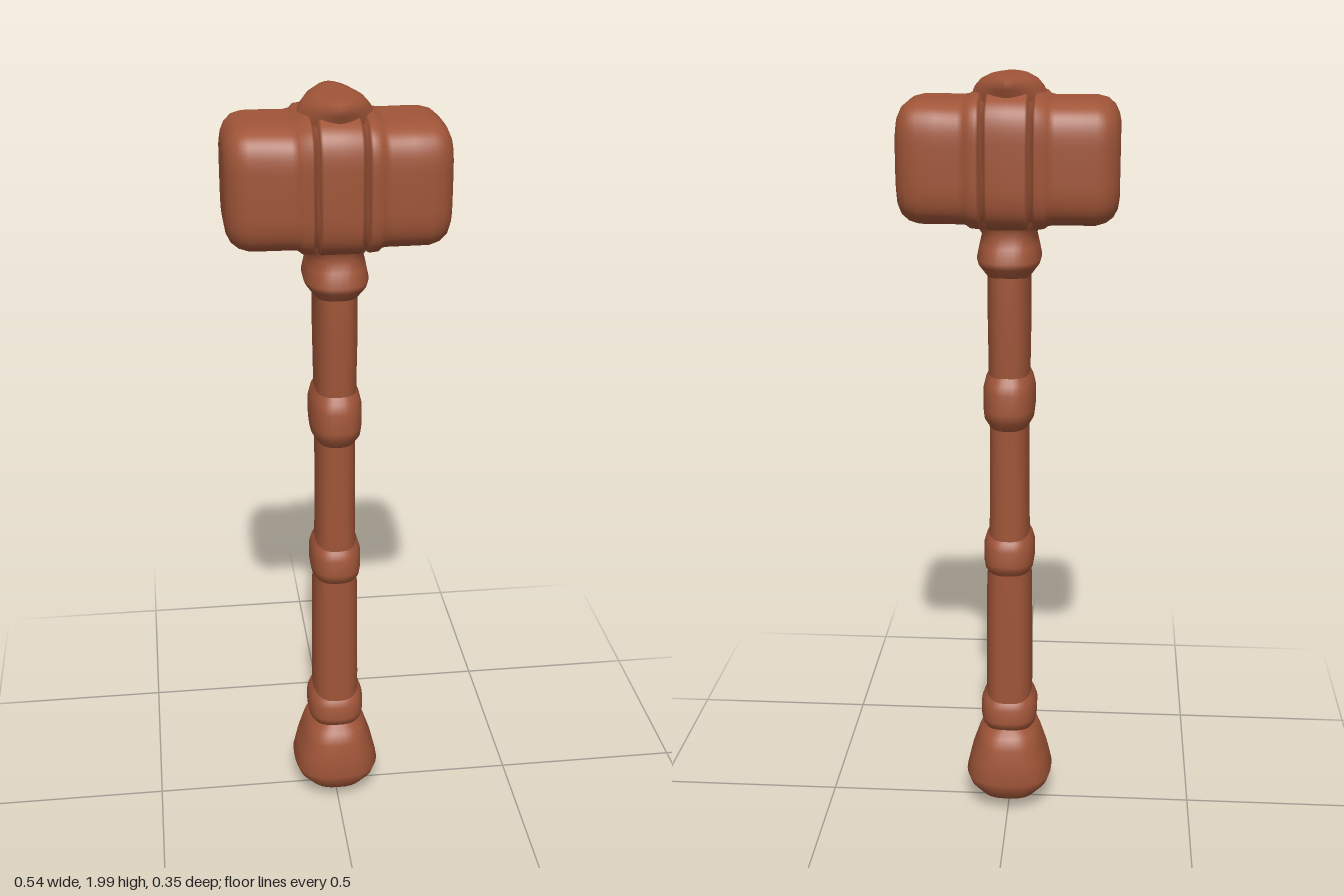
import * as THREE from 'three';

const clay = new THREE.MeshStandardMaterial({ color: 0xa05538 });
clay.name = 'terracotta';

// Superellipse coordinate: exponent 2 is an ellipse, higher is boxier
const power = (v, n) => Math.sign(v) * Math.abs(v) ** (2 / n);

// Closed smooth skin through rings; place(s, c, d) maps each ring point to space
function loft(name, sections, n, place, sides = 40) {
  const points = [], index = [];
  sections.forEach((s, i) => {
    for (let j = 0; j < sides; j++) {
      const a = (j / sides) * Math.PI * 2;
      points.push(...place(s, power(Math.cos(a), n), power(Math.sin(a), n)));
      if (i === sections.length - 1) continue;
      const k = (j + 1) % sides, p = i * sides, q = p + sides;
      index.push(p + j, q + j, p + k, p + k, q + j, q + k);
    }
  });
  const geometry = new THREE.BufferGeometry();
  geometry.setAttribute('position', new THREE.Float32BufferAttribute(points, 3));
  geometry.setIndex(index);
  geometry.computeVertexNormals();
  const mesh = new THREE.Mesh(geometry, clay);
  mesh.name = name;
  return mesh;
}

// Sections [y, half width, half depth] stacked upwards
const upright = ([y, w, d], c, s) => [c * w, y, s * d];
// Sections [x, bottom, top, half depth] running left along the head
const sideways = ([x, lo, hi, d], c, s) => [x, (lo + hi) / 2 + s * (hi - lo) / 2, c * d];

// A raised grip ring with sloping shoulders
function collar(name, y, h, w, d) {
  return loft(name, [
    [y - h / 2 - 0.03, w - 0.02, d - 0.035], [y - h / 2, w - 0.003, d - 0.006],
    [y - h / 4, w, d], [y + h / 4, w, d - 0.005],
    [y + h / 2, w - 0.006, d - 0.012], [y + h / 2 + 0.03, w - 0.02, d - 0.035],
  ], 2.6, upright);
}

export function createModel() {
  const model = new THREE.Group();
  model.name = 'warHammer';

  // Shaft, slightly thicker towards both ends, flaring into the head
  model.add(loft('shaft', [
    [0.2, 0.06, 0.08], [0.4, 0.062, 0.083], [0.66, 0.06, 0.083], [0.86, 0.052, 0.083],
    [1.1, 0.051, 0.083], [1.27, 0.053, 0.09], [1.42, 0.055, 0.102], [1.52, 0.054, 0.1],
    [1.62, 0.066, 0.1], [1.68, 0.1, 0.11],
  ], 2.7, upright));

  // Faceted pommel ending in a blunt point
  model.add(loft('pommel', [
    [0.01, 0, 0], [0.025, 0.04, 0.045], [0.055, 0.08, 0.1], [0.085, 0.108, 0.121],
    [0.11, 0.117, 0.128], [0.16, 0.105, 0.125], [0.21, 0.088, 0.118],
    [0.24, 0.076, 0.105], [0.26, 0.05, 0.08],
  ], 2.7, upright));

  // Grip rings
  model.add(collar('lowerCollar', 0.3, 0.07, 0.076, 0.096));
  model.add(collar('middleCollar', 0.765, 0.08, 0.067, 0.1));
  model.add(collar('upperCollar', 1.19, 0.1, 0.067, 0.114));

  // Neck ring widening under the head
  model.add(loft('neckCollar', [
    [1.51, 0.055, 0.095], [1.54, 0.077, 0.122], [1.555, 0.081, 0.127],
    [1.59, 0.074, 0.113], [1.615, 0.068, 0.102], [1.635, 0.08, 0.108], [1.67, 0.11, 0.12],
  ], 2.6, upright));

  // Head: half profile mirrored about the middle, with end blocks, bands and grooves
  const half = [
    [0, 1.63, 1.965, 0.173], [0.045, 1.63, 1.965, 0.173], [0.051, 1.633, 1.96, 0.168],
    [0.053, 1.645, 1.945, 0.147], [0.062, 1.645, 1.945, 0.147], [0.064, 1.635, 1.955, 0.169],
    [0.07, 1.633, 1.96, 0.176], [0.09, 1.635, 1.957, 0.174], [0.1, 1.642, 1.948, 0.163],
    [0.115, 1.643, 1.945, 0.16], [0.17, 1.643, 1.946, 0.159], [0.215, 1.643, 1.946, 0.157],
    [0.24, 1.65, 1.94, 0.148], [0.258, 1.663, 1.925, 0.132], [0.268, 1.682, 1.905, 0.11],
    [0.272, 1.705, 1.885, 0.09], [0.272, 1.795, 1.795, 0],
  ];
  const mirrored = half.slice(1).reverse().map(([x, ...rest]) => [-x, ...rest]);
  model.add(loft('head', [...mirrored, ...half], 4, sideways, 64));

  // Almond-shaped cap over the strap
  model.add(loft('topCap', [
    [1.92, 0.1, 0.11], [1.945, 0.095, 0.12], [1.97, 0.085, 0.133], [1.987, 0.07, 0.139],
    [1.997, 0.05, 0.13], [2, 0.03, 0.1], [2, 0, 0],
  ], 1.7, upright));

  return model;
}
